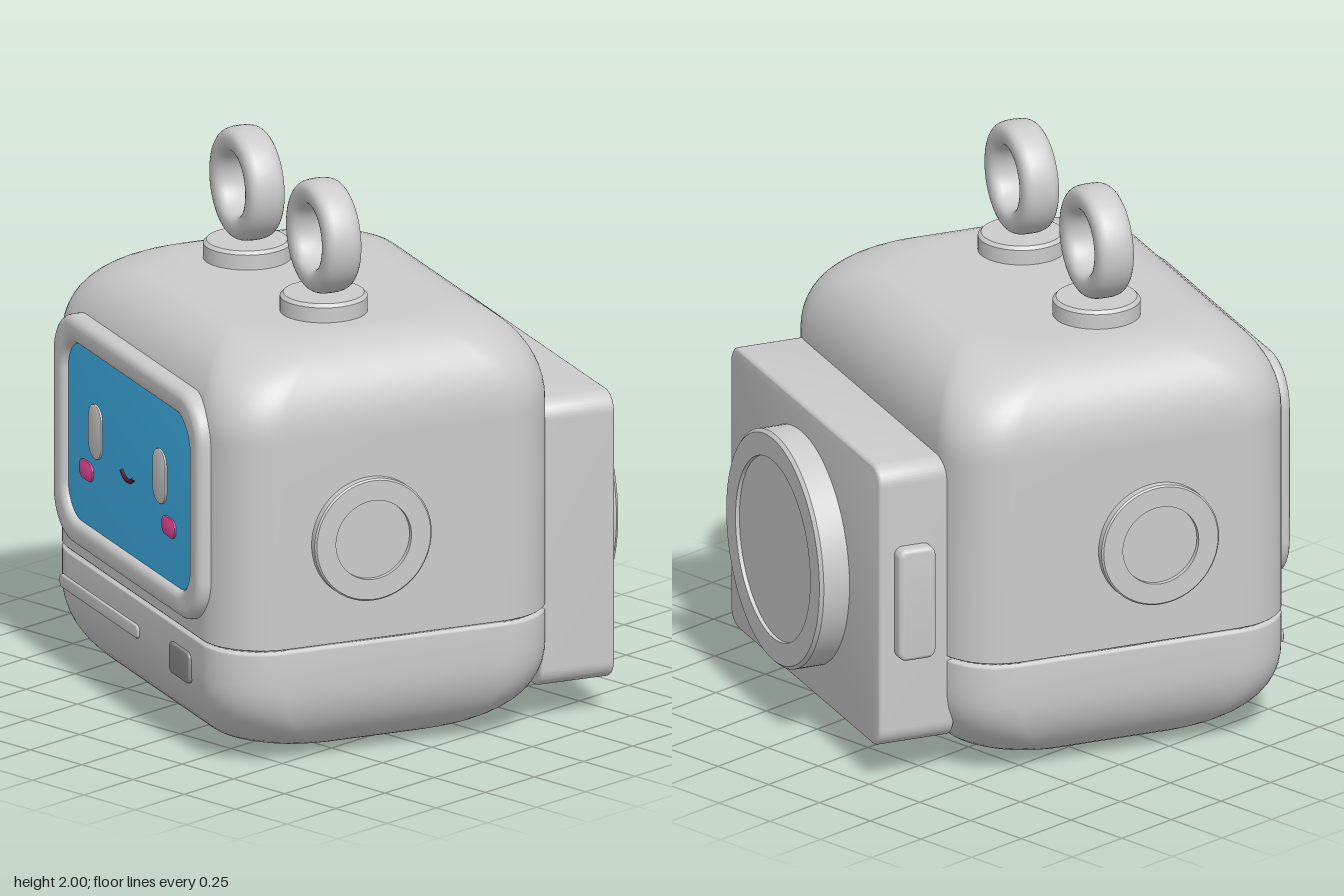
import * as THREE from 'three';
import { toCreasedNormals } from 'three/addons/utils/BufferGeometryUtils.js';

const GREY = 0xcccccc;

function add(parent, name, geometry, x, y, z, color = GREY) {
  const mesh = new THREE.Mesh(geometry, new THREE.MeshStandardMaterial({ color }));
  mesh.name = name;
  mesh.position.set(x, y, z);
  parent.add(mesh);
  return mesh;
}

// Rounded rectangle outline centred on the origin
function roundedRect(w, h, r, Type = THREE.Shape) {
  const s = new Type(), a = w / 2, b = h / 2;
  s.absarc(a - r, b - r, r, 0, Math.PI / 2);
  s.absarc(-a + r, b - r, r, Math.PI / 2, Math.PI);
  s.absarc(-a + r, -b + r, r, Math.PI, Math.PI * 1.5);
  s.absarc(a - r, -b + r, r, Math.PI * 1.5, Math.PI * 2);
  s.closePath();
  return s;
}

// Bevelled plate running from z = 0 to z = depth
function plate(shape, depth, bevel) {
  const g = new THREE.ExtrudeGeometry(shape, {
    depth: depth - 2 * bevel, bevelSize: bevel, bevelOffset: -bevel,
    bevelThickness: bevel, bevelSegments: 4, curveSegments: 12,
  });
  g.translate(0, 0, bevel);
  return toCreasedNormals(g, 0.6);
}

// Disc along +y with a raised rim and a sunken centre
function rimmedDisc(R, inner, h, bevel, sink) {
  const pts = [[R, 0], [R, h - bevel], [R - bevel, h], [inner, h], [inner, h - sink], [0, h - sink]];
  return toCreasedNormals(new THREE.LatheGeometry(pts.map(p => new THREE.Vector2(...p)), 64), 0.5);
}

// Soft box: rounded-rectangle loops stacked along a profile of [inset, y]
function softBox(halfW, halfD, radius, profile) {
  const pos = [], idx = [], steps = 12, n = 4 * (steps + 1);
  const corners = [[1, 1], [-1, 1], [-1, -1], [1, -1]];
  for (const [inset, y] of profile) {
    const r = radius + inset * 0.3;
    corners.forEach(([sx, sz], q) => {
      for (let i = 0; i <= steps; i++) {
        const t = (q + i / steps) * Math.PI / 2;
        pos.push(sx * (halfW - inset - r) + r * Math.cos(t), y, sz * (halfD - inset - r) + r * Math.sin(t));
      }
    });
  }
  const last = (profile.length - 1) * n, bottom = profile.length * n, top = bottom + 1;
  pos.push(0, profile[0][1], 0, 0, profile[profile.length - 1][1], 0);
  for (let i = 0; i < n; i++) {
    const k = (i + 1) % n;
    for (let o = 0; o < last; o += n) {
      idx.push(o + i, o + n + i, o + k, o + k, o + n + i, o + n + k);
    }
    idx.push(bottom, i, k, top, last + k, last + i);
  }
  const g = new THREE.BufferGeometry();
  g.setAttribute('position', new THREE.Float32BufferAttribute(pos, 3));
  g.setIndex(idx);
  g.computeVertexNormals();
  return g;
}

export function createModel() {
  const root = new THREE.Group();
  root.name = 'robotHead';
  const head = new THREE.Group();
  head.name = 'turnedHead';
  head.rotation.y = -0.393;
  root.add(head);
  const cx = 0.02;

  // Body with a seam groove above the base
  const profile = [];
  const round = 14, e = 2 / 2.2;
  for (let i = 0; i <= round; i++) {
    const t = (i / round) * Math.PI / 2;
    profile.push([0.32 * (1 - Math.sin(t) ** e), 0.32 * (1 - Math.cos(t) ** e)]);
  }
  profile.push([0, 0.425], [0.004, 0.43], [0.014, 0.435], [0.014, 0.44], [0.004, 0.445], [0, 0.45]);
  for (let i = 0; i <= round; i++) {
    const t = (i / round) * Math.PI / 2;
    profile.push([0.29 * (1 - Math.cos(t) ** e), 1.2 + 0.32 * Math.sin(t) ** e]);
  }
  add(head, 'body', softBox(0.81, 0.65, 0.22, profile), cx, 0, 0.1);

  // Screen and its frame
  const frame = roundedRect(1.29, 0.84, 0.17);
  frame.holes.push(roundedRect(1.1, 0.65, 0.12, THREE.Path));
  add(head, 'screenFrame', plate(frame, 0.1, 0.03), 0.025, 0.92, 0.69);
  add(head, 'screen', plate(roundedRect(1.14, 0.69, 0.13), 0.07, 0.005), 0.025, 0.92, 0.695, 0x41b4ee);

  // Face
  for (const side of [-1, 1]) {
    const label = side > 0 ? 'left' : 'right';
    add(head, label + 'Eye', plate(roundedRect(0.112, 0.2, 0.053), 0.012, 0.002), side * 0.281, 0.96, 0.76);
    add(head, label + 'Cheek', plate(roundedRect(0.116, 0.07, 0.034), 0.012, 0.002), side * 0.361, 0.795, 0.76, 0xe6489a);
  }
  const smile = new THREE.QuadraticBezierCurve3(
    new THREE.Vector3(-0.055, 0.015, 0), new THREE.Vector3(0, -0.032, 0), new THREE.Vector3(0.055, 0.015, 0));
  add(head, 'mouth', new THREE.TubeGeometry(smile, 16, 0.008, 8), 0.003, 0.87, 0.768, 0x5a1530);

  // Slot and button on the base
  add(head, 'slot', plate(roundedRect(0.685, 0.05, 0.02), 0.04, 0.006), -0.28, 0.315, 0.718);
  add(head, 'frontButton', plate(roundedRect(0.178, 0.115, 0.025), 0.05, 0.006), 0.428, 0.312, 0.71, 0x909090);

  // Ears and antenna rings, mirrored
  const loop = [];
  const soft = v => Math.sign(v) * Math.abs(v) ** 0.7;
  for (let i = 0; i <= 28; i++) {
    const t = (i % 28) / 28 * Math.PI * 2;
    loop.push(new THREE.Vector2(0.1575 + 0.0475 * soft(Math.cos(t)), 0.069 * soft(Math.sin(t))));
  }
  const ringGeometry = toCreasedNormals(new THREE.LatheGeometry(loop, 56), 0.9);
  const baseGeometry = rimmedDisc(0.155, 0.1, 0.085, 0.012, 0);
  for (const side of [-1, 1]) {
    const label = side > 0 ? 'left' : 'right';
    const ear = add(head, label + 'Ear', rimmedDisc(0.225, 0.145, 0.06, 0.006, 0.018), cx + side * 0.783, 0.82, 0.2);
    ear.rotation.z = -side * Math.PI / 2;
    add(head, label + 'AntennaBase', baseGeometry, cx + side * 0.336, 1.502, 0.17);
    const ring = add(head, label + 'AntennaRing', ringGeometry, cx + side * 0.336, 1.795, 0.17);
    ring.rotation.x = Math.PI / 2;
  }

  // Backpack with round cover and side button
  add(head, 'backpack', plate(roundedRect(1.34, 1.06, 0.07), 0.285, 0.012), 0.035, 0.66, -0.797);
  const cover = add(head, 'backCover', rimmedDisc(0.43, 0.335, 0.13, 0.012, 0.015), 0.065, 0.655, -0.777);
  cover.rotation.x = -Math.PI / 2;
  const key = add(head, 'backpackButton', plate(roundedRect(0.14, 0.42, 0.03), 0.07, 0.015), -0.615, 0.68, -0.67);
  key.rotation.y = -Math.PI / 2;

  return root;
}
